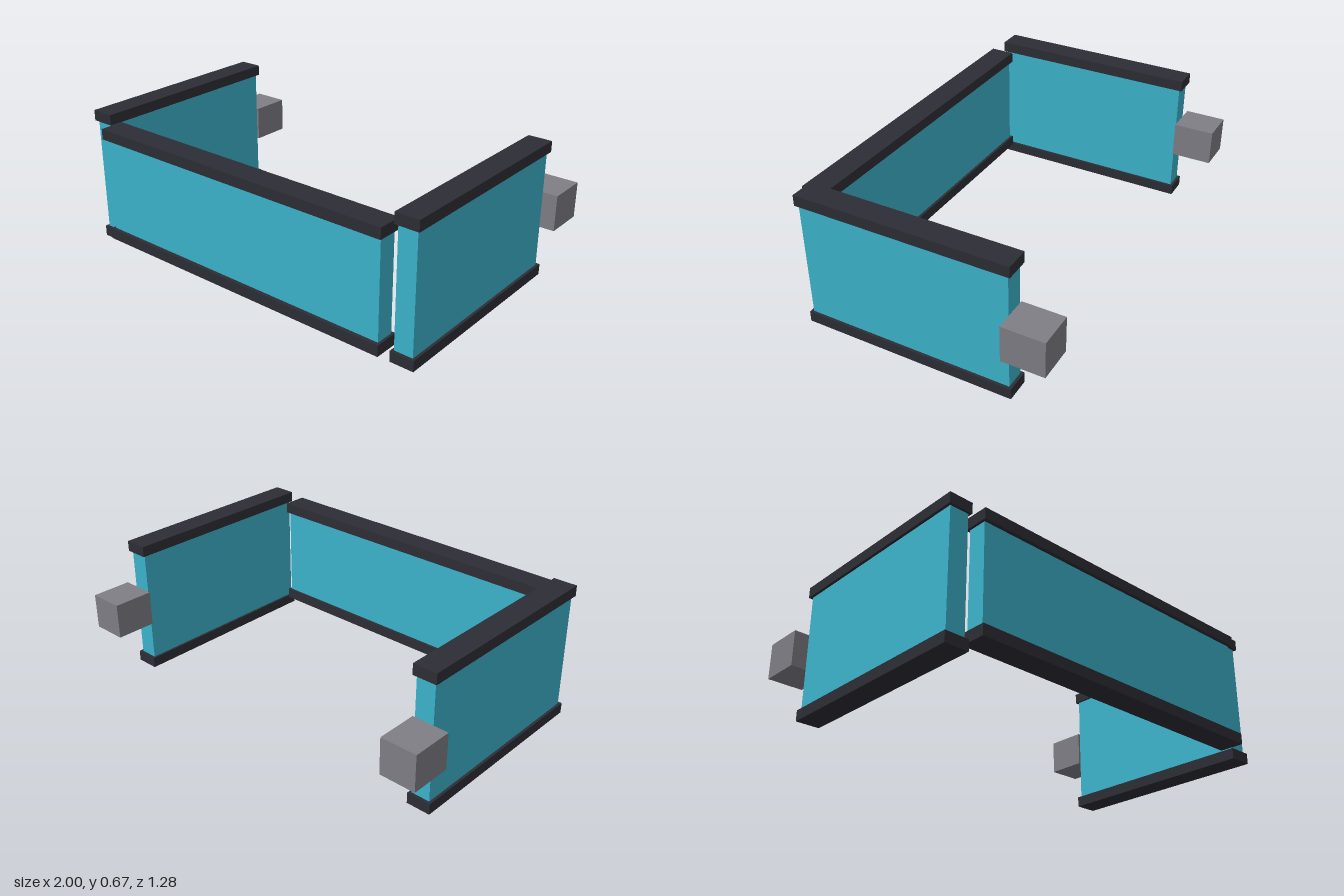
import * as THREE from 'three';

export function createModel() {
  const model = new THREE.Group();
  const teal = new THREE.MeshStandardMaterial({ name: 'teal panel', color: 0x3cb4cc });
  const dark = new THREE.MeshStandardMaterial({ name: 'dark trim', color: 0x2d2d35 });
  const grey = new THREE.MeshStandardMaterial({ name: 'grey mount', color: 0x7f7e86 });

  // Box given by its extents along each axis
  function box(name, material, [x0, x1], [y0, y1], [z0, z1], parent) {
    const mesh = new THREE.Mesh(new THREE.BoxGeometry(x1 - x0, y1 - y0, z1 - z0), material);
    mesh.position.set((x0 + x1) / 2, (y0 + y1) / 2, (z0 + z1) / 2);
    mesh.name = name;
    parent.add(mesh);
  }

  // Front wall: panel between two rails
  const front = new THREE.Group();
  front.name = 'frontWall';
  box('frontPanel', teal, [-0.8, 0.8], [0.103, 0.57], [0.533, 0.622], front);
  box('frontBottomRail', dark, [-0.812, 0.812], [0.05, 0.103], [0.52, 0.64], front);
  box('frontTopRail', dark, [-0.812, 0.812], [0.57, 0.622], [0.52, 0.64], front);
  model.add(front);

  // Side walls, each with a mounting block at the rear
  for (const [side, s] of [['left', 1], ['right', -1]]) {
    const wall = new THREE.Group();
    wall.name = side + 'Wall';
    const across = (a, b) => (s > 0 ? [a, b] : [-b, -a]);
    box(side + 'Panel', teal, across(0.836, 0.928), [0.052, 0.617], [-0.44, 0.562], wall);
    box(side + 'BottomRail', dark, across(0.825, 0.941), [0, 0.052], [-0.454, 0.575], wall);
    box(side + 'TopRail', dark, across(0.825, 0.941), [0.617, 0.669], [-0.454, 0.575], wall);
    box(side + 'Mount', grey, across(0.825, 1), [0.248, 0.422], [-0.64, -0.44], wall);
    model.add(wall);
  }
  return model;
}
